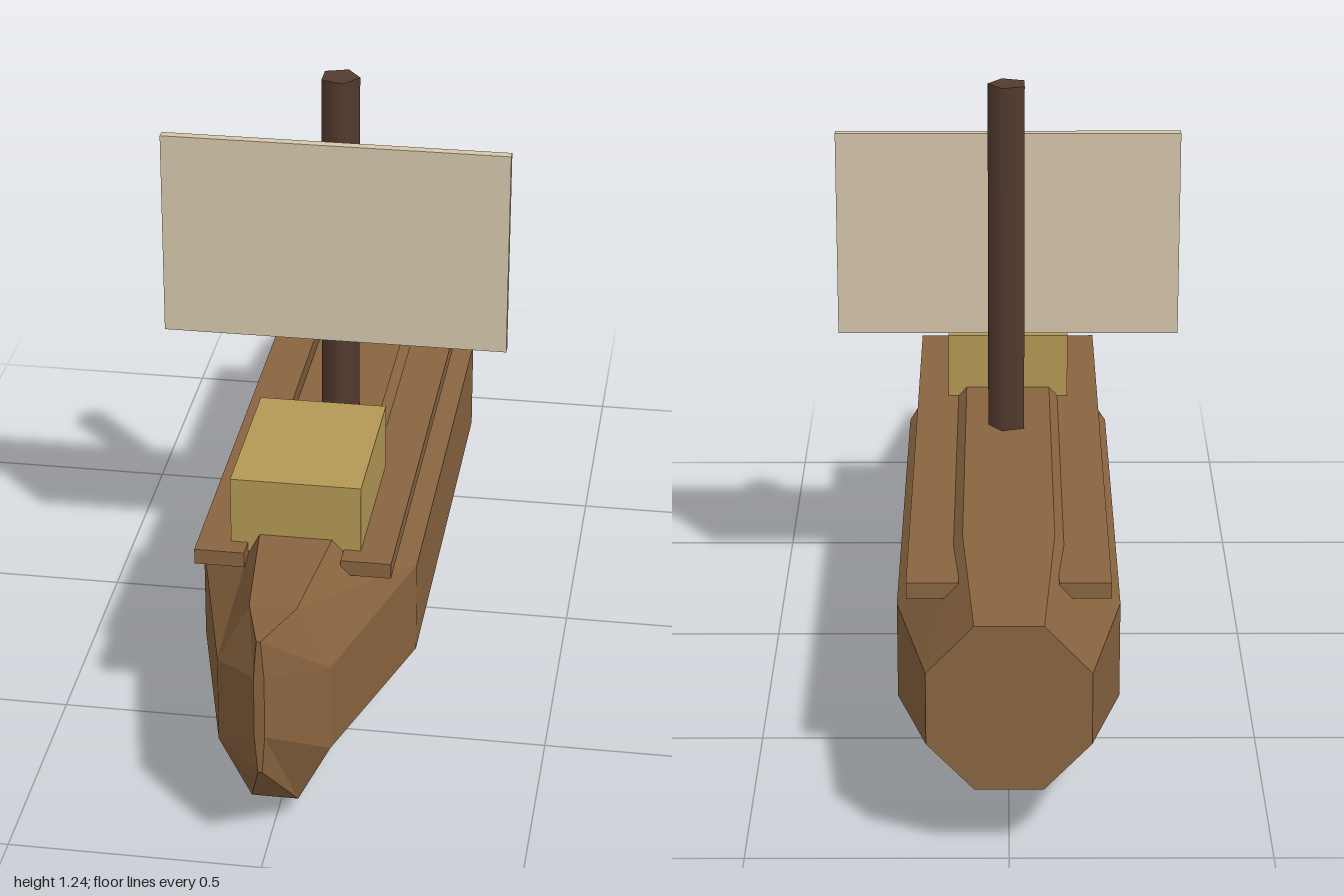
import * as THREE from 'three';

const mat = (name, color) => {
  const m = new THREE.MeshStandardMaterial({ color });
  m.name = name;
  return m;
};

// Octagonal hull sections from stern to bow: z, flat half width, full half width, four heights
const SECTIONS = [
  [-1, 0.065, 0.155, 0.145, 0.24, 0.385, 0.48],
  [-0.6, 0.09, 0.22, 0, 0.145, 0.345, 0.49],
  [0.4, 0.09, 0.22, 0, 0.145, 0.345, 0.49],
  [0.84, 0.046, 0.11, 0.055, 0.18, 0.363, 0.49],
  [1, 0.004, 0.01, 0.22, 0.3, 0.43, 0.51],
];

function hullGeometry() {
  const rings = SECTIONS.map(([z, f, w, y0, y1, y2, y3]) => [
    [f, y0], [w, y1], [w, y2], [f, y3], [-f, y3], [-w, y2], [-w, y1], [-f, y0],
  ].map(([x, y]) => [x, y, z]));
  const pos = [];
  const tri = (a, b, c) => pos.push(...a, ...b, ...c);
  // planking between neighbouring sections
  for (let i = 0; i < rings.length - 1; i++) {
    for (let j = 0; j < 8; j++) {
      const k = (j + 1) % 8;
      tri(rings[i][j], rings[i][k], rings[i + 1][k]);
      tri(rings[i][j], rings[i + 1][k], rings[i + 1][j]);
    }
  }
  // transom and stem caps
  const stern = rings[0], bow = rings[rings.length - 1];
  for (let k = 1; k < 7; k++) {
    tri(stern[0], stern[k + 1], stern[k]);
    tri(bow[0], bow[k], bow[k + 1]);
  }
  const g = new THREE.BufferGeometry();
  g.setAttribute('position', new THREE.Float32BufferAttribute(pos, 3));
  g.computeVertexNormals();
  return g;
}

export function createModel() {
  const group = new THREE.Group();
  const wood = mat('hull wood', 0x8a6540);
  const darkWood = mat('mast wood', 0x553c30);
  const cloth = mat('sail cloth', 0xd6c8ac);
  const straw = mat('cabin ochre', 0xb59a55);

  const add = (name, geometry, material, x = 0, y = 0, z = 0) => {
    const m = new THREE.Mesh(geometry, material);
    m.name = name;
    m.position.set(x, y, z);
    group.add(m);
  };
  const box = (w, h, d) => new THREE.BoxGeometry(w, h, d);

  add('hull', hullGeometry(), wood);

  // side rails
  for (const [name, s] of [['leftRail', 1], ['rightRail', -1]]) {
    add(name, box(0.1, 0.032, 1.4), wood, s * 0.146, 0.454, -0.082);
  }

  add('cabin', box(0.26, 0.16, 0.35), straw, 0, 0.53, 0.4);

  // five-sided mast with one corner towards +x
  add('mast', new THREE.CylinderGeometry(0.042, 0.042, 0.8, 5, 1, false, Math.PI / 2), darkWood, 0, 0.838, 0);

  add('sail', box(0.72, 0.44, 0.02), cloth, 0, 0.896, 0.065);

  return group;
}
